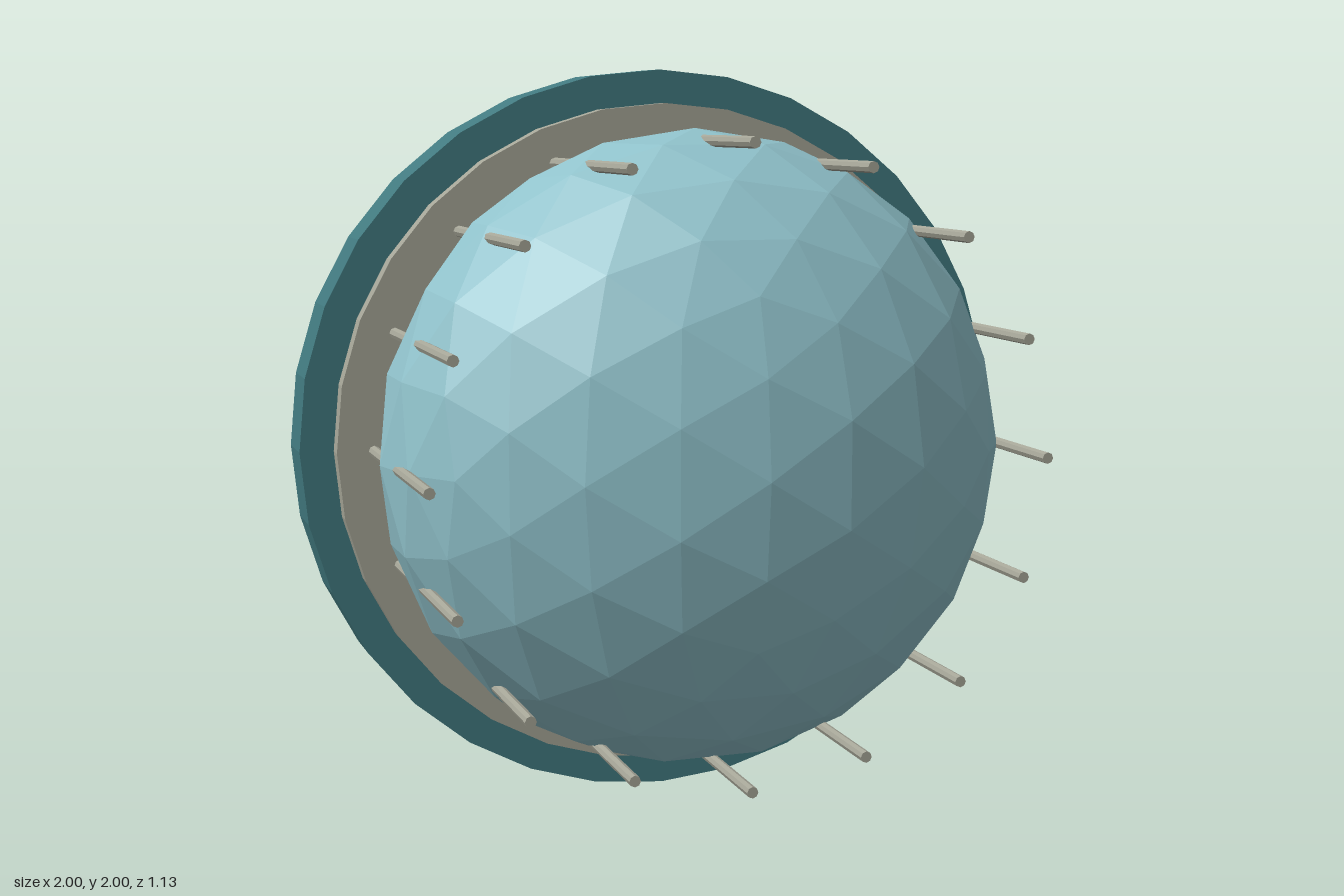
import * as THREE from 'three';

const flat = (name, color) => {
  const m = new THREE.MeshStandardMaterial({ color, flatShading: true });
  m.name = name;
  return m;
};

export function createModel() {
  const group = new THREE.Group();
  const paleBlue = flat('paleBlue', 0x90c2cb);
  const teal = flat('teal', 0x427a80);
  const stone = flat('stone', 0xa6a698);

  const add = (name, geometry, material, x, y, z) => {
    const mesh = new THREE.Mesh(geometry, material);
    mesh.name = name;
    mesh.position.set(x, y, z);
    group.add(mesh);
    return mesh;
  };

  // Cylinder lying along z, centred between two depths
  const disc = (name, radius, z0, z1, sides, material, x = 0, y = 1) => {
    const geometry = new THREE.CylinderGeometry(radius, radius, z1 - z0, sides);
    geometry.rotateX(Math.PI / 2);
    return add(name, geometry, material, x, y, (z0 + z1) / 2);
  };

  // Faceted dome, flattened front to back, poking through the plate
  const dome = new THREE.IcosahedronGeometry(1, 3);
  dome.scale(0.843, 0.843, 0.565);
  add('dome', dome, paleBlue, 0, 1.002, 0);

  // Backing plate and the thinner rim in front of it
  disc('backPlate', 1, -0.44, -0.29, 32, teal);
  disc('rim', 0.91, -0.29, -0.24, 32, stone);

  // Ring of pins pointing forwards
  const pins = 16;
  for (let i = 0; i < pins; i++) {
    const a = (i / pins) * Math.PI * 2;
    disc('pin' + (i + 1), 0.015, -0.26, 0.445, 8, stone, 0.811 * Math.cos(a), 1.002 + 0.811 * Math.sin(a));
  }
  return group;
}
